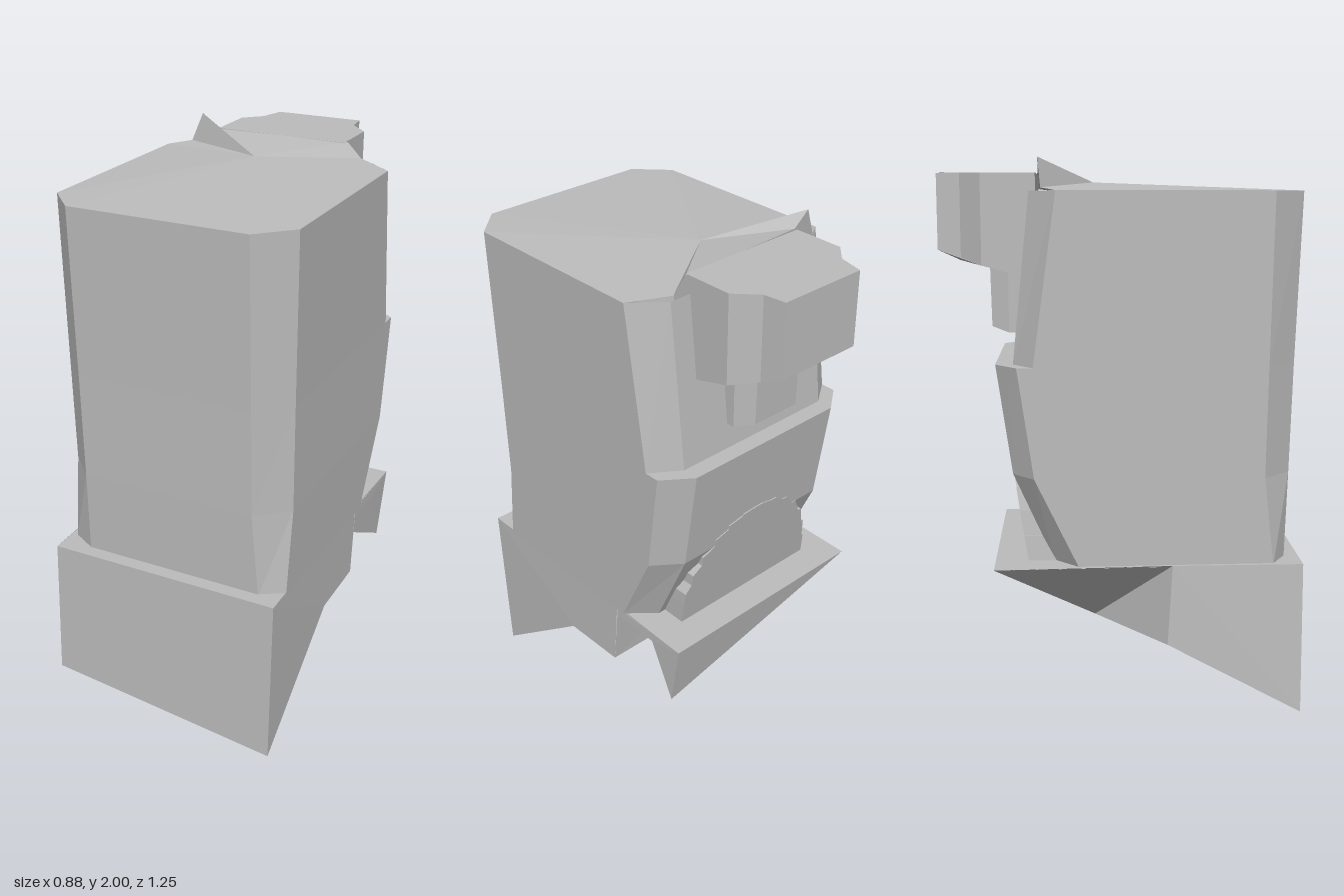
import * as THREE from 'three';

const stone = new THREE.MeshStandardMaterial({ color: 0xbcbcbc, side: THREE.DoubleSide, flatShading: true });
stone.name = 'plain grey';

// Mesh from a list of flat polygons, each a counter-clockwise list of points
function facets(name, polygons) {
  const pos = [];
  for (const p of polygons) {
    for (let i = 1; i < p.length - 1; i++) pos.push(...p[0], ...p[i], ...p[i + 1]);
  }
  const g = new THREE.BufferGeometry();
  g.setAttribute('position', new THREE.Float32BufferAttribute(pos, 3));
  g.computeVertexNormals();
  const mesh = new THREE.Mesh(g, stone);
  mesh.name = name;
  return mesh;
}

// Skin between rings of equal length, listed from bottom to top
function loft(name, rings, capTop = true) {
  const faces = [[...rings[0]].reverse()];
  for (let k = 0; k < rings.length - 1; k++) {
    const a = rings[k], b = rings[k + 1];
    a.forEach((_, i) => {
      const j = (i + 1) % a.length;
      faces.push([a[i], a[j], b[j], b[i]]);
    });
  }
  if (capTop) faces.push(rings[rings.length - 1]);
  return facets(name, faces);
}

// Eight-sided body section with chamfered corners
const section = (y, xl, xr, fl, fr, front, frontSide, backSide, back) => [
  [fl, y, front], [fr, y, front], [xr, y, frontSide], [xr, y, backSide],
  [0.33, y, back], [-0.31, y, back], [xl, y, backSide], [xl, y, frontSide],
];

export function createModel() {
  const model = new THREE.Group();
  model.name = 'blockTower';

  // Tall body, with a ledge across the back
  const top = section(1.89, -0.41, 0.44, -0.305, 0.33, 0.61, 0.5, -0.22, -0.31);
  model.add(loft('body', [
    section(0.62, -0.405, 0.425, -0.315, 0.345, 0.57, 0.52, -0.15, -0.235),
    section(0.93, -0.405, 0.43, -0.31, 0.325, 0.58, 0.485, -0.3, -0.375),
    section(1.31, -0.408, 0.433, -0.308, 0.327, 0.59, 0.49, -0.355, -0.43),
    section(1.31, -0.408, 0.433, -0.308, 0.327, 0.59, 0.49, -0.3, -0.37),
    top,
  ], false));

  // Gently rising roof with small peaks at the back
  const peak = [0, 1.92, -0.09];
  const rim = [
    ...top.slice(0, 4), [0.31, 1.9, -0.3], [0.26, 1.95, -0.3],
    [-0.24, 1.95, -0.28], [-0.3, 2, -0.28], [-0.34, 1.9, -0.27], ...top.slice(6),
  ];
  model.add(facets('roof', rim.map((p, i) => [peak, p, rim[(i + 1) % rim.length]])));

  // Block overhanging the back, with a stub below it
  const plan = [
    [-0.24, -0.29, 1.59], [0.25, -0.29, 1.59], [0.25, -0.475, 1.64], [0.18, -0.55, 1.655],
    [0.17, -0.63, 1.69], [-0.155, -0.63, 1.69], [-0.165, -0.55, 1.655], [-0.24, -0.475, 1.64],
  ];
  model.add(loft('overhang', [
    plan.map(([x, z, y]) => [x, y, z]),
    plan.map(([x, z]) => [x, 1.95, z]),
  ]));
  const stub = (low, high, z) => [
    [-0.13, low, -0.3], [0.13, low, -0.3], [0.13, low, -0.39],
    [0.09, high, z], [-0.1, high, z], [-0.13, low, -0.39],
  ];
  model.add(loft('stub', [stub(1.4, 1.42, -0.45), stub(1.66, 1.66, -0.455)]));

  // Arched swelling with a stepped edge on the lower back
  const arch = [[-0.32, 0.62]];
  const steps = 14;
  for (let i = 1; i < steps; i++) {
    const a = Math.PI * (1 - i / steps);
    const x = 0.32 * Math.cos(a) * 0.97, y = 0.62 + 0.4 * Math.sin(a);
    const last = arch[arch.length - 1];
    arch.push(i <= steps / 2 ? [last[0] * 0.4 + x * 0.6, y] : [x, last[1] * 0.6 + y * 0.4], [x, y]);
  }
  arch.push([0.3, 0.62]);
  const archBack = ([x, y]) => [x, y, -0.325 - (y - 0.62) * 0.17];
  const archFront = ([x, y]) => [x, y, -0.2];
  model.add(facets('arch', arch.slice(1).flatMap((p, i) => {
    const q = arch[i];
    return [
      [archBack([0, 0.62]), archBack(q), archBack(p)],
      [archBack(p), archBack(q), archFront(q), archFront(p)],
    ];
  })));

  // Wedge-shaped base: front block, ledge and sloping underside
  const A = [0.41, 0, 0.62], B = [-0.445, 0.1, 0.62];
  const TL = [-0.425, 0.63, 0.62], TR = [0.425, 0.63, 0.62];
  const C = [0.42, 0.355, 0.165], D = [0.42, 0.36, -0.085];
  const E = [-0.13, 0.36, -0.09], F = [-0.44, 0.35, 0.154];
  const G = [-0.43, 0.63, 0.17], H = [0.42, 0.59, -0.11];
  const KL = [-0.43, 0.62, -0.44], KR = [0.42, 0.62, -0.44];
  const R = [0.42, 0.63, -0.11];
  model.add(facets('base', [
    [B, A, TR, TL], [A, B, F, C], [C, F, E, D],
    [A, C, TR], [C, D, R, TR],
    [B, TL, G], [B, G, F], [F, G, E], [G, KL, E],
    [D, E, [-0.13, 0.59, -0.11], H],
    [TL, TR, KR, KL],
  ]));

  // Rear ledge underside and its pointed hanging fin
  const P = [0.41, 0.36, -0.39], Q = [0.16, 0.36, -0.28];
  const N = [0.42, 0.585, -0.3], S = [-0.05, 0.48, -0.11];
  model.add(facets('rearFin', [
    [KR, P, KL], [P, Q, KL], [Q, E, KL],
    [N, KR, P], [N, P, Q], [N, Q, [0.16, 0.59, -0.3]],
    [S, Q, [0.16, 0.59, -0.3], [-0.05, 0.59, -0.11]], [S, E, Q],
    [H, [-0.05, 0.59, -0.11], [0.16, 0.59, -0.3], N],
    [H, N, KR, R],
  ]));

  return model;
}
